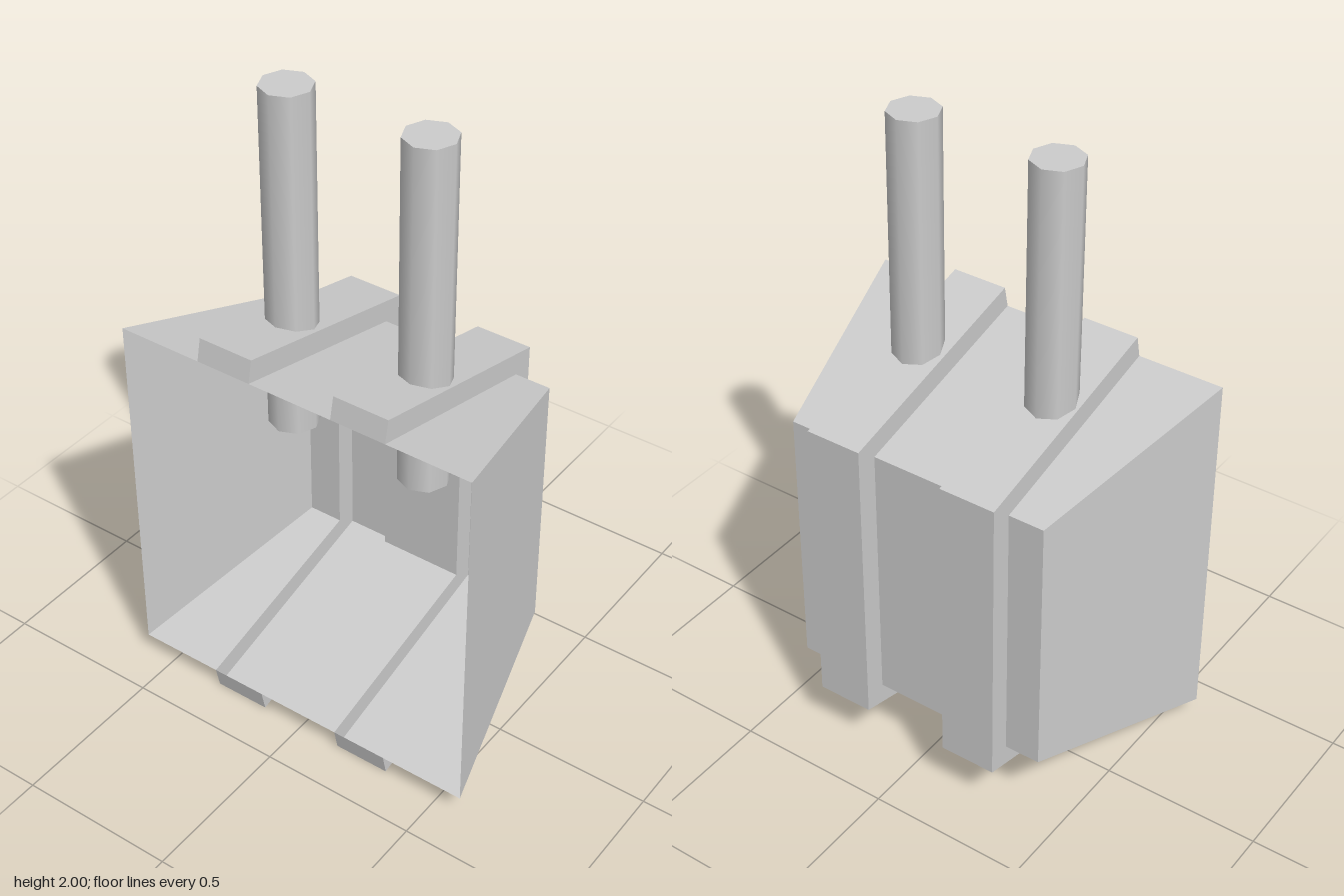
import * as THREE from 'three';

const material = new THREE.MeshStandardMaterial({ color: 0xcccccc, flatShading: true, side: THREE.DoubleSide });
const smooth = new THREE.MeshStandardMaterial({ color: 0xcccccc });

// Profiles as [z, y], running from the top front edge round the back to the bottom front edge
const shell = [[0.36, 1.25], [-0.29, 1.09], [-0.29, 0.23], [0.36, 0.07]];
const channel = [[0.36, 1.25], [0.345, 1.32], [-0.36, 1.145], [-0.36, 0.18], [0.345, 0], [0.36, 0.07]];
const halfWidths = [0.59, 0.43, 0.43, 0.59];
const strapIn = 0.138, strapOut = 0.317, strapMid = 0.23;

function addMesh(parent, name, geometry, mat = material) {
  const mesh = new THREE.Mesh(geometry, mat);
  mesh.name = name;
  parent.add(mesh);
  return mesh;
}

// Sheet following a profile, with its x limits given per profile point
function ribbon(profile, x0, x1) {
  const pos = [];
  const at = (i, x) => [x(i), profile[i][1], profile[i][0]];
  for (let i = 0; i < profile.length - 1; i++) {
    const a = at(i, x0), b = at(i, x1), c = at(i + 1, x1), d = at(i + 1, x0);
    pos.push(...a, ...b, ...c, ...a, ...c, ...d);
  }
  const g = new THREE.BufferGeometry();
  g.setAttribute('position', new THREE.Float32BufferAttribute(pos, 3));
  g.computeVertexNormals();
  return g;
}

// Tapered side wall
function sideWall(s) {
  const p = shell.map(([z, y], i) => new THREE.Vector3(s * halfWidths[i], y, z));
  const order = s > 0 ? [0, 3, 2, 0, 2, 1] : [0, 2, 3, 0, 1, 2];
  const g = new THREE.BufferGeometry().setFromPoints(order.map((i) => p[i]));
  g.computeVertexNormals();
  return g;
}

// Side of a raised channel, filling the gap between both profiles
function channelSide(x) {
  const outline = [...channel, ...shell.slice(1, 3).reverse()];
  const shape = new THREE.Shape(outline.map(([z, y]) => new THREE.Vector2(z, y)));
  return new THREE.ShapeGeometry(shape).rotateY(-Math.PI / 2).translate(x, 0, 0);
}

export function createModel() {
  const group = new THREE.Group();
  const body = new THREE.Group();
  body.name = 'openBox';
  group.add(body);

  // Centre panel between the channels
  addMesh(body, 'centrePanel', ribbon(shell, () => -strapIn, () => strapIn));

  for (const s of [-1, 1]) {
    const side = s > 0 ? 'left' : 'right';
    const edge = (i) => s * halfWidths[i];
    const inner = () => s * strapOut;

    // Outer panel and tapered side wall
    addMesh(body, side + 'OuterPanel', s > 0 ? ribbon(shell, inner, edge) : ribbon(shell, edge, inner));
    addMesh(body, side + 'SideWall', sideWall(s));

    // Hollow raised channel wrapping top, back and bottom
    const strap = new THREE.Group();
    strap.name = side + 'Channel';
    group.add(strap);
    const lo = s > 0 ? strapIn : -strapOut, hi = s > 0 ? strapOut : -strapIn;
    addMesh(strap, 'channelFace', ribbon(channel, () => lo, () => hi));
    for (const x of [lo, hi]) addMesh(strap, 'channelSide', channelSide(x));

    // Upright rod passing through the channel's top
    const rod = addMesh(group, side + 'Rod', new THREE.CylinderGeometry(0.078, 0.078, 1.105, 8), smooth);
    rod.position.set(s * strapMid, 1.4475, 0.043);
  }
  return group;
}
